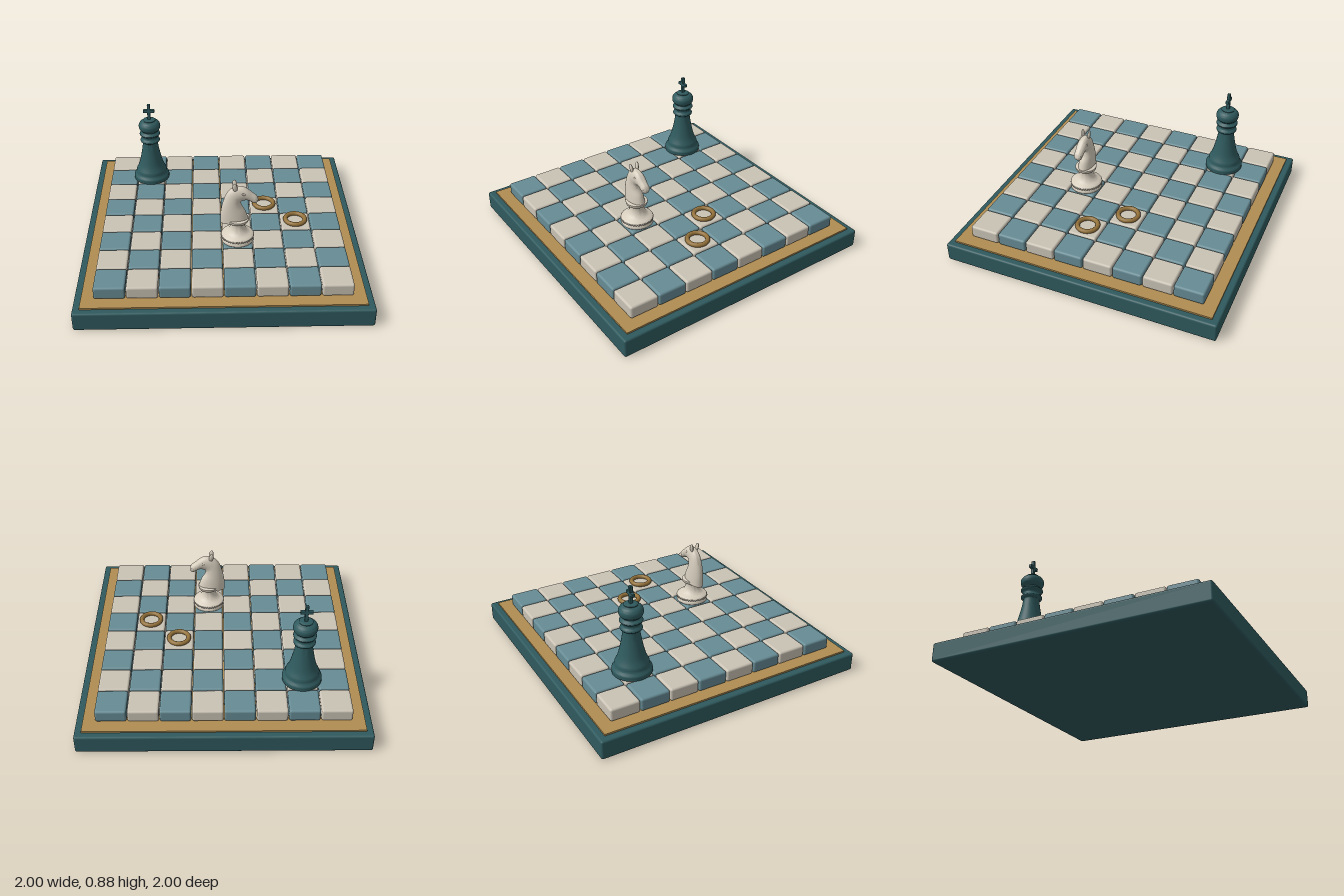
import * as THREE from 'three';
import { RoundedBoxGeometry } from 'three/addons/geometries/RoundedBoxGeometry.js';
import { toCreasedNormals } from 'three/addons/utils/BufferGeometryUtils.js';

const mat = (name, color) => new THREE.MeshStandardMaterial({ name, color });
const PITCH = 0.2175;
const cell = (i) => (i - 3.5) * PITCH;

function add(parent, name, geometry, material, x = 0, y = 0, z = 0) {
  const mesh = new THREE.Mesh(geometry, material);
  mesh.name = name;
  mesh.position.set(x, y, z);
  parent.add(mesh);
  return mesh;
}

function group(parent, name, x = 0, z = 0) {
  const g = new THREE.Group();
  g.name = name;
  g.position.set(x, 0, z);
  parent.add(g);
  return g;
}

// Turned part from [radius, height] points, bottom to top
function turned(points) {
  const curve = new THREE.SplineCurve(points.map(([r, y]) => new THREE.Vector2(r, y)));
  const profile = curve.getPoints(points.length * 3);
  profile.forEach((p) => { p.x = Math.max(p.x, 0); });
  return toCreasedNormals(new THREE.LatheGeometry(profile, 40), 0.9);
}

// Smooth loft; each section is [backX, backY, frontX, frontY, halfWidth]
function loft(sections, rings = 40, sides = 28) {
  const line = (f) => new THREE.CatmullRomCurve3(sections.map(f));
  const back = line((s) => new THREE.Vector3(s[0], s[1], s[4]));
  const front = line((s) => new THREE.Vector3(s[2], s[3], s[4]));
  const pos = [];
  const index = [];
  for (let i = 0; i <= rings; i++) {
    const b = back.getPoint(i / rings);
    const f = front.getPoint(i / rings);
    for (let j = 0; j < sides; j++) {
      const t = (j / sides) * Math.PI * 2;
      const k = (1 + Math.cos(t)) / 2;
      pos.push(f.x + (b.x - f.x) * k, f.y + (b.y - f.y) * k, b.z * Math.sin(t));
      if (i === rings) continue;
      const a = i * sides + j;
      const c = i * sides + ((j + 1) % sides);
      index.push(a, c, c + sides, a, c + sides, a + sides);
    }
  }
  // Close both ends with fans
  const caps = [[0, sections[0]], [rings * sides, sections[sections.length - 1]]];
  caps.forEach(([start, s], end) => {
    const centre = pos.length / 3;
    pos.push((s[0] + s[2]) / 2, (s[1] + s[3]) / 2, 0);
    for (let j = 0; j < sides; j++) {
      const a = start + j;
      const c = start + ((j + 1) % sides);
      index.push(centre, end ? a : c, end ? c : a);
    }
  });
  const geo = new THREE.BufferGeometry();
  geo.setAttribute('position', new THREE.Float32BufferAttribute(pos, 3));
  geo.setIndex(index);
  geo.computeVertexNormals();
  return toCreasedNormals(geo, 0.9);
}

export function createModel() {
  const teal = mat('dark teal', 0x2f5a5e);
  const blue = mat('blue tile', 0x678c95);
  const cream = mat('cream tile', 0xcac3b5);
  const brass = mat('brass', 0xb08d52);
  const bronze = mat('bronze', 0x93713a);
  const ivory = mat('ivory', 0xd6cdbd);

  const model = new THREE.Group();
  model.name = 'chessBoardSet';

  // Board
  const board = group(model, 'board');
  add(board, 'plinth', new RoundedBoxGeometry(2, 0.138, 2, 3, 0.014), teal, 0, 0.069, 0);
  add(board, 'inlayPlate', new THREE.BoxGeometry(1.905, 0.04, 1.905), brass, 0, 0.13, 0);
  const tile = new RoundedBoxGeometry(0.212, 0.092, 0.212, 2, 0.015);
  for (let i = 0; i < 8; i++) {
    for (let j = 0; j < 8; j++) {
      add(board, 'tile', tile, (i + j) % 2 ? blue : cream, cell(i), 0.197, cell(j));
    }
  }

  // King
  const king = group(model, 'king', cell(1), cell(1));
  add(king, 'kingBody', turned([
    [0, 0.243], [0.125, 0.245], [0.137, 0.258], [0.137, 0.278], [0.124, 0.295],
    [0.119, 0.308], [0.117, 0.325], [0.106, 0.347], [0.093, 0.38], [0.078, 0.44],
    [0.066, 0.5], [0.058, 0.555], [0.06, 0.565], [0.073, 0.573], [0.075, 0.585],
    [0.065, 0.597], [0.06, 0.607], [0.064, 0.62], [0.077, 0.63], [0.078, 0.641],
    [0.064, 0.652], [0.06, 0.662], [0.076, 0.676], [0.083, 0.695], [0.081, 0.718],
    [0.067, 0.738], [0.048, 0.748], [0.045, 0.756], [0, 0.762],
  ]), teal);
  add(king, 'crossPost', new RoundedBoxGeometry(0.024, 0.13, 0.024, 2, 0.004), teal, 0, 0.817, 0);
  add(king, 'crossArm', new RoundedBoxGeometry(0.086, 0.024, 0.024, 2, 0.004), teal, 0, 0.827, 0);

  // Knight pedestal
  const knight = group(model, 'knight', cell(4), cell(5));
  add(knight, 'knightPedestal', turned([
    [0, 0.243], [0.105, 0.245], [0.114, 0.254], [0.112, 0.268], [0.104, 0.274],
    [0.115, 0.282], [0.114, 0.294], [0.098, 0.303], [0.076, 0.316], [0.058, 0.34],
    [0.05, 0.37], [0.053, 0.39], [0.072, 0.4], [0.077, 0.412], [0.072, 0.425], [0, 0.43],
  ]), ivory);
  const bead = new THREE.SphereGeometry(0.008, 8, 6);
  for (let i = 0; i < 40; i++) {
    const a = (i / 40) * Math.PI * 2;
    add(knight, 'bead', bead, ivory, 0.112 * Math.cos(a), 0.283, 0.112 * Math.sin(a));
  }

  // Knight neck, head and muzzle in one sweep
  add(knight, 'knightHead', loft([
    [-0.122, 0.395, 0.074, 0.425, 0.058],
    [-0.12, 0.475, 0.055, 0.48, 0.053],
    [-0.102, 0.565, 0.027, 0.53, 0.046],
    [-0.07, 0.64, 0.024, 0.562, 0.04],
    [-0.018, 0.68, 0.045, 0.573, 0.038],
    [0.043, 0.676, 0.075, 0.572, 0.036],
    [0.096, 0.635, 0.1, 0.556, 0.032],
    [0.131, 0.605, 0.118, 0.549, 0.029],
    [0.142, 0.58, 0.132, 0.555, 0.015],
  ]), ivory);

  // Ears, eyes and nostrils, mirrored
  const ear = new THREE.SphereGeometry(1, 14, 10);
  for (const side of [-1, 1]) {
    const e = add(knight, 'ear', ear, ivory, -0.022, 0.685, side * 0.023);
    e.scale.set(0.017, 0.036, 0.011);
    e.rotation.set(side * 0.12, 0, 0.15);
    const eye = add(knight, 'eye', ear, ivory, 0.038, 0.637, side * 0.034);
    eye.scale.set(0.013, 0.008, 0.006);
    eye.rotation.z = -0.4;
    add(knight, 'nostril', ear, ivory, 0.122, 0.585, side * 0.025).scale.set(0.009, 0.007, 0.006);
  }

  // Move marker rings
  const ring = new THREE.TorusGeometry(0.072, 0.0165, 16, 48).rotateX(Math.PI / 2);
  for (const [i, j] of [[5, 3], [6, 4]]) {
    add(model, 'markerRing', ring, bronze, cell(i), 0.257, cell(j));
  }
  return model;
}
